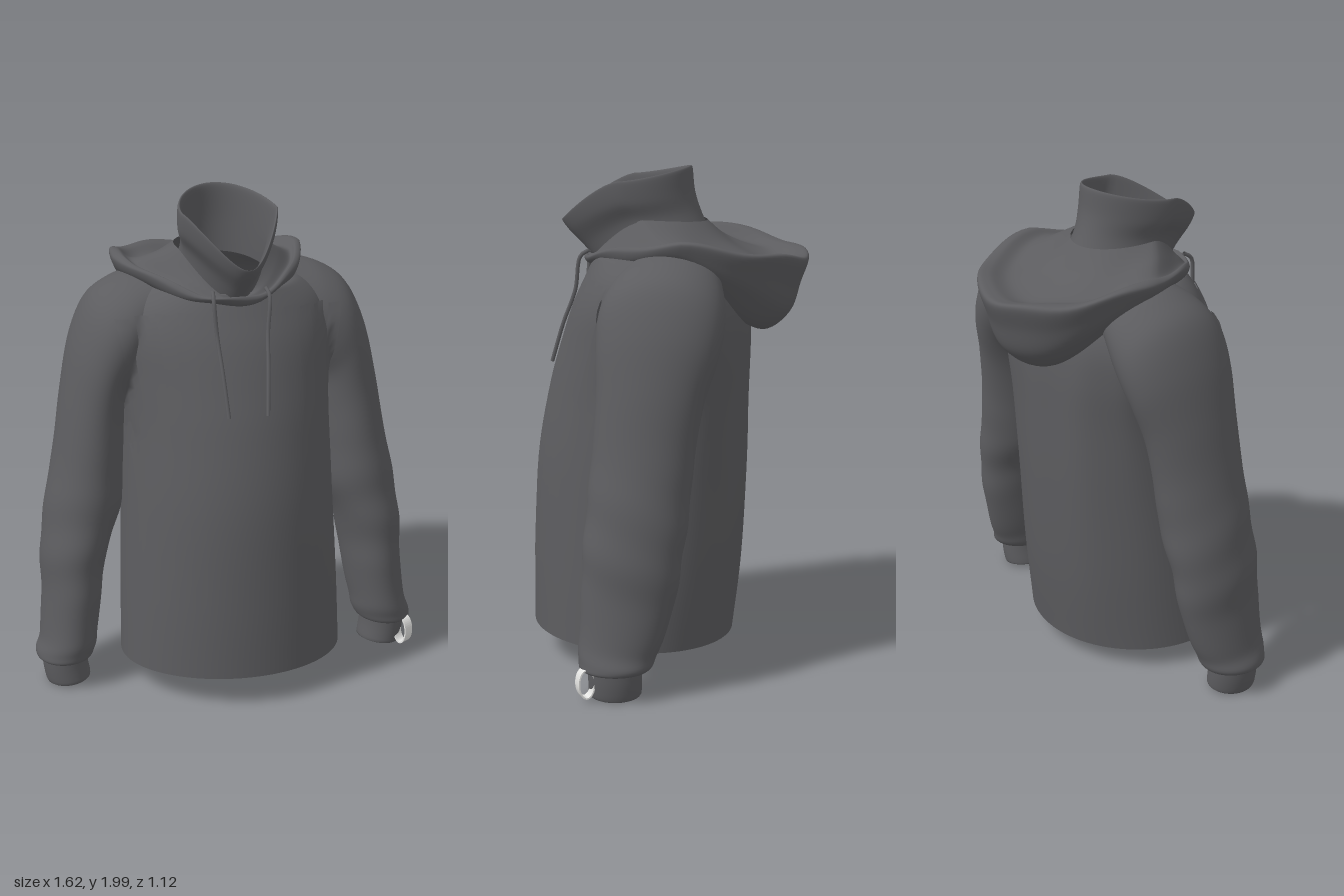
import * as THREE from 'three';

const fabric = new THREE.MeshStandardMaterial({ color: 0x5c5c5f, side: THREE.DoubleSide });
fabric.name = 'charcoal fabric';
const white = new THREE.MeshStandardMaterial({ color: 0xe4e4e2, side: THREE.DoubleSide });
white.name = 'white tape';

// Smoothly interpolated row of a table, t from 0 to 1
function sampleRow(rows, t) {
  const f = t * (rows.length - 1);
  const i = Math.min(Math.floor(f), rows.length - 2);
  const u = f - i;
  const at = (k) => rows[Math.max(0, Math.min(rows.length - 1, k))];
  return rows[i].map((b, c) => {
    const a = at(i - 1)[c], d = at(i + 1)[c], e = at(i + 2)[c];
    const m0 = (d - a) / 2, m1 = (e - b) / 2;
    return b + u * (m0 + u * (3 * (d - b) - 2 * m0 - m1 + u * (2 * (b - d) + m0 + m1)));
  });
}

// Skin of closed rings: point(row, angle, t) gives [x, y, z]
function loft(rows, point, steps, sides = 64) {
  const pos = [], index = [];
  for (let i = 0; i <= steps; i++) {
    const t = i / steps, row = sampleRow(rows, t);
    for (let j = 0; j < sides; j++) {
      pos.push(...point(row, (j / sides) * Math.PI * 2, t));
      if (i === steps) continue;
      const a = i * sides + j, b = i * sides + ((j + 1) % sides);
      index.push(a, b, b + sides, a, b + sides, a + sides);
    }
  }
  const g = new THREE.BufferGeometry();
  g.setAttribute('position', new THREE.Float32BufferAttribute(pos, 3));
  g.setIndex(index);
  g.computeVertexNormals();
  return g;
}

function mesh(name, geometry, material = fabric) {
  const m = new THREE.Mesh(geometry, material);
  m.name = name;
  return m;
}

// Torso ring: [y, half width, front z, back z]; the hem dips behind, the neckline
// dips in front, and the shoulder blades are flatter than the chest
function torsoPoint([y, rx, zf, zb], a, t) {
  const c = Math.cos(a), s = Math.sin(a);
  const dip = (0.025 * Math.max(0, 1 - t * 3) - 0.25 * Math.max(0, t - 0.8)) * c;
  const flat = 1 - 0.5 * Math.sin(Math.PI * t) ** 2;
  const depth = c < 0 ? -(Math.abs(c) ** flat) : c;
  const drape = c < 0 ? 0.008 * Math.sin(a * 9) * c * Math.sin(Math.PI * t) : 0;
  return [rx * s, y + dip, (zf + zb) / 2 + ((zf - zb) / 2) * depth + drape];
}

// Sleeve ring: [inner x, inner y, outer x, outer y, front z, back z]
function sleevePoint(side) {
  return ([px, py, qx, qy, zf, zb], a, t) => {
    const bump = (k, w) => Math.exp(-(((t - k) / w) ** 2));
    const fold = 1 + 0.018 * Math.sin(t * 60 + Math.cos(a) * 2.2) * (bump(0.62, 0.12) + bump(0.86, 0.06));
    const s = Math.sin(a) * fold, c = Math.cos(a) * fold;
    return [
      side * ((px + qx) / 2 + ((qx - px) / 2) * s),
      (py + qy) / 2 + ((qy - py) / 2) * s,
      (zf + zb) / 2 + ((zf - zb) / 2) * c,
    ];
  };
}

// Neck ring, pointed at the front: [half width, front z, back z, front y, side y, back y]
function neckPoint(pinch, shift, creases = 0) {
  return ([rx, zf, zb, yf, ys, yb], a, t) => {
    const c = Math.cos(a), s = Math.sin(a);
    const wave = creases * Math.sin(a * 7 + t * 5) * Math.sin(Math.PI * t);
    return [
      shift + rx * s * (1 - pinch * Math.max(0, c)),
      ys + ((c > 0 ? yf : yb) - ys) * Math.abs(c) ** 1.4 + wave,
      (zf + zb) / 2 + ((zf - zb) / 2) * c,
    ];
  };
}

const TORSO = [
  [0.105, 0.455, 0.56, -0.26], [0.41, 0.445, 0.557, -0.298], [0.8, 0.425, 0.54, -0.32],
  [1.1, 0.415, 0.49, -0.325], [1.3, 0.425, 0.435, -0.325], [1.45, 0.435, 0.385, -0.31],
  [1.56, 0.405, 0.335, -0.27], [1.635, 0.32, 0.3, -0.21], [1.665, 0.23, 0.29, -0.15], [1.68, 0.185, 0.285, -0.12],
];
const SLEEVE = [
  [0.25, 1.45, 0.3, 1.685, 0.15, -0.25], [0.33, 1.32, 0.42, 1.655, 0.195, -0.28],
  [0.37, 1.24, 0.53, 1.58, 0.21, -0.285], [0.4, 1.18, 0.605, 1.42, 0.205, -0.265],
  [0.41, 1.08, 0.655, 1.2, 0.2, -0.22], [0.42, 0.92, 0.692, 0.98, 0.21, -0.19],
  [0.435, 0.74, 0.735, 0.77, 0.225, -0.175], [0.5, 0.56, 0.764, 0.56, 0.235, -0.155],
  [0.53, 0.38, 0.768, 0.37, 0.24, -0.125], [0.555, 0.22, 0.787, 0.2, 0.245, -0.075],
  [0.575, 0.135, 0.808, 0.125, 0.24, -0.04], [0.61, 0.12, 0.77, 0.11, 0.2, 0],
];
const CUFF = [
  [0.605, 0.15, 0.785, 0.14, 0.205, -0.005], [0.6, 0.09, 0.78, 0.07, 0.205, -0.005],
  [0.59, 0.03, 0.768, 0.01, 0.205, 0], [0.6, 0.036, 0.758, 0.016, 0.195, 0.01],
  [0.61, 0.1, 0.77, 0.08, 0.195, 0.01],
];
const COLLAR = [
  [0.18, 0.3, -0.165, 1.615, 1.7, 1.73], [0.17, 0.35, -0.125, 1.67, 1.79, 1.82],
  [0.193, 0.41, -0.1, 1.73, 1.86, 1.9], [0.196, 0.44, -0.09, 1.77, 1.94, 1.99],
  [0.182, 0.425, -0.078, 1.765, 1.93, 1.978], [0.166, 0.33, -0.08, 1.69, 1.81, 1.85],
  [0.166, 0.28, -0.075, 1.62, 1.69, 1.72],
];
// Folded hood: neck seam, basin, rim, then the hanging pouch
const HOOD = [
  [0.182, 0.315, -0.15, 1.625, 1.795, 1.78], [0.25, 0.325, -0.26, 1.635, 1.75, 1.69],
  [0.32, 0.335, -0.41, 1.635, 1.71, 1.63], [0.36, 0.345, -0.51, 1.64, 1.732, 1.65],
  [0.39, 0.35, -0.56, 1.63, 1.722, 1.64], [0.38, 0.34, -0.53, 1.615, 1.685, 1.54],
  [0.355, 0.32, -0.49, 1.605, 1.655, 1.42], [0.3, 0.29, -0.39, 1.6, 1.625, 1.345],
  [0.22, 0.25, -0.26, 1.6, 1.6, 1.4],
];

export function createModel() {
  const group = new THREE.Group();
  const torso = mesh('torso', loft(TORSO, torsoPoint, 54, 96));
  const shell = [torso];
  for (const side of [1, -1]) {
    const label = side > 0 ? 'left' : 'right';
    const sleeve = mesh(label + 'Sleeve', loft(SLEEVE, sleevePoint(side), 77, 48));
    shell.push(sleeve);
    group.add(sleeve, mesh(label + 'Cuff', loft(CUFF, sleevePoint(side), 16, 48)));
  }
  group.add(torso);
  group.add(mesh('collar', loft(COLLAR, neckPoint(0.4, -0.01), 36)));
  group.add(mesh('hood', loft(HOOD, neckPoint(0.22, -0.02, 0.008), 56, 80)));

  // Depth of the garment's front at a given x, y
  const ray = new THREE.Raycaster();
  const toBack = new THREE.Vector3(0, 0, -1);
  const frontZ = (x, y, fallback) => {
    ray.set(new THREE.Vector3(x, y, 2), toBack);
    const hit = ray.intersectObjects(shell, false)[0];
    return hit ? hit.point.z : fallback;
  };

  // Four narrow chest strips on each side, laid just above the cloth
  const tops = [0.21, 0.285, 0.36, 0.435], bottoms = [0.21, 0.265, 0.32, 0.37];
  for (const side of [1, -1]) {
    tops.forEach((top, k) => {
      const g = new THREE.PlaneGeometry(1, 1, 3, 32);
      const p = g.attributes.position;
      for (let i = 0; i < p.count; i++) {
        const t = p.getY(i) + 0.5, w = 0.044 + 0.01 * t ** 3;
        const y = 0.41 + t * (1.17 - 0.012 * k);
        const x = side * (bottoms[k] + (top - bottoms[k]) * t ** 3) + p.getX(i) * w - 0.012;
        p.setXYZ(i, x, y, frontZ(x, y, 0.15) + 0.009);
      }
      g.computeVertexNormals();
      group.add(mesh('chestStrip', g));
    });
  }

  // Drawstrings hanging from the hood
  for (const [x0, x1] of [[-0.125, -0.1], [0.1, 0.055]]) {
    const pts = [[x0 * 0.95, 1.665, 0.31], [x0, 1.64, 0.345]];
    for (const y of [1.5, 1.36, 1.2]) {
      const x = x0 + ((x1 - x0) * (1.64 - y)) / 0.44;
      pts.push([x, y, frontZ(x, y, 0.4) + 0.014]);
    }
    const curve = new THREE.CatmullRomCurve3(pts.map((v) => new THREE.Vector3(...v)));
    group.add(mesh('drawstring', new THREE.TubeGeometry(curve, 32, 0.008, 8)));
  }

  // White tape loop on the left cuff
  const loop = new THREE.Shape().absellipse(0, 0, 0.034, 0.06, 0, Math.PI * 2);
  loop.holes.push(new THREE.Path().absellipse(0, 0, 0.028, 0.054, 0, Math.PI * 2));
  const tape = new THREE.ExtrudeGeometry(loop, { depth: 0.045, bevelEnabled: false, curveSegments: 20 });
  tape.translate(0, 0, -0.0225);
  const tag = mesh('cuffLoop', tape, white);
  tag.position.set(0.752, 0.075, 0.205);
  tag.rotation.y = -Math.PI / 3;
  group.add(tag);
  return group;
}
